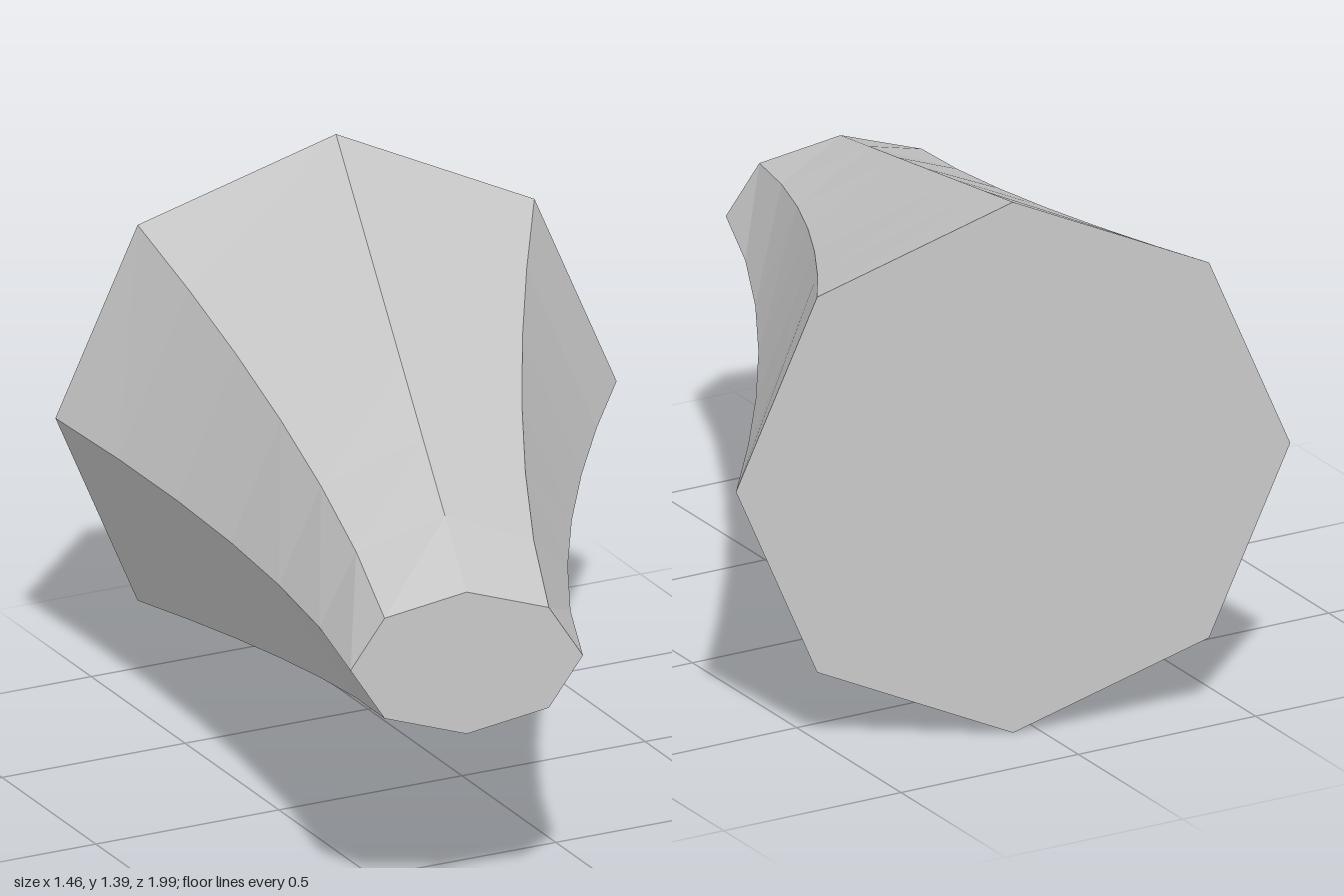
import * as THREE from 'three';

export function createModel() {
  const group = new THREE.Group();
  group.name = 'flaredHorn';
  const grey = new THREE.MeshStandardMaterial({ color: 0xc8c8c8 });
  grey.name = 'grey';

  // Eight-sided closed tube, reshaped along a straight axis from small front end to wide back end
  const frontCentre = new THREE.Vector3(-0.455, 0.693, 0.913);
  const backCentre = new THREE.Vector3(0.064, 0.693, -0.796);
  const axis = backCentre.clone().sub(frontCentre).normalize();
  const up = new THREE.Vector3(0, 1, 0);
  const side = new THREE.Vector3().crossVectors(axis, up);

  const tube = new THREE.CylinderGeometry(1, 1, 1, 8, 6);
  const pos = tube.attributes.position;
  const p = new THREE.Vector3();
  for (let i = 0; i < pos.count; i++) {
    const t = pos.getY(i) + 0.5;
    const halfWidth = 0.287 + 0.406 * Math.pow(t, 1.6); // flares in a curve
    const halfHeight = 0.185 + 0.508 * t; // grows evenly
    p.lerpVectors(frontCentre, backCentre, t)
      .addScaledVector(side, pos.getX(i) * halfWidth)
      .addScaledVector(up, pos.getZ(i) * halfHeight);
    pos.setXYZ(i, p.x, p.y, p.z);
  }

  // Faceted normals
  const faceted = tube.toNonIndexed();
  faceted.clearGroups();
  faceted.computeVertexNormals();

  const horn = new THREE.Mesh(faceted, grey);
  horn.name = 'hornBody';
  group.add(horn);
  return group;
}
